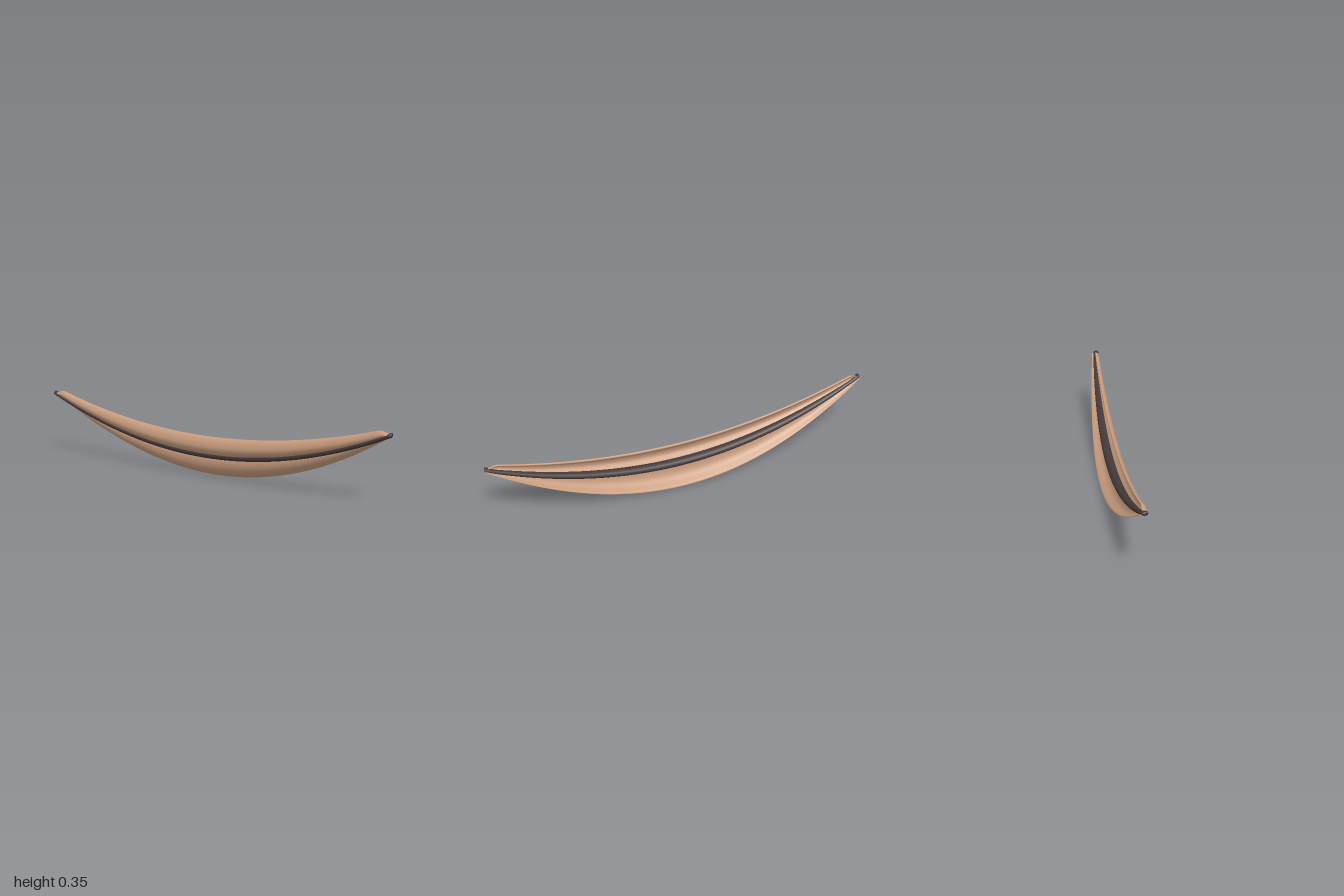
import * as THREE from 'three';

// Curves of the smile along x: lower rim, seam between the lips, upper rim
const rimBottom = x => 0.003 + 0.33 * x * x;
const seam = x => 0.117 + 0.22 * x * x;
const rimTop = x => 0.214 + 0.155 * x * x - 0.028 * THREE.MathUtils.smoothstep(Math.abs(x), 0.94, 1);

// Lip sections: [height fraction, z at the middle, z at the corners],
// up the front surface and back down the inside
const upperSection = [
  [0, 0.012, 0.03], [0.14, 0.037, 0.042], [0.42, 0.052, 0.046], [0.72, 0.048, 0.043],
  [0.93, 0.036, 0.037], [1, 0.024, 0.03], [0.92, 0.02, 0.026],
  [0.7, 0.034, 0.03], [0.42, 0.039, 0.03], [0.16, 0.02, 0.025],
];
const lowerSection = [
  [0, -0.052, 0.015], [0.1, -0.028, 0.02], [0.28, 0, 0.028], [0.5, 0.014, 0.033],
  [0.78, 0.018, 0.037], [0.97, 0.012, 0.034], [1, 0.002, 0.028],
  [0.78, 0.004, 0.025], [0.5, -0.001, 0.02], [0.28, -0.016, 0.017], [0.06, -0.051, 0.012],
];

// Closed loft along x; ringAt(x) returns [y, z] pairs running up the front
function loft(ringAt, steps = 72) {
  const pos = [], index = [];
  let n = 0;
  for (let i = 0; i <= steps; i++) {
    const x = -Math.cos((i / steps) * Math.PI) * 0.5 + (i / steps - 0.5);
    const ring = ringAt(x);
    n = ring.length;
    for (const [y, z] of ring) pos.push(x, y, z);
  }
  for (let i = 0; i < steps; i++) {
    for (let j = 0; j < n; j++) {
      const a = i * n + j, b = i * n + (j + 1) % n;
      index.push(a, a + n, b, b, a + n, b + n);
    }
  }
  // End caps
  for (const [row, flip] of [[0, false], [steps, true]]) {
    const c = pos.length / 3, mid = [0, 0, 0];
    for (let j = 0; j < n; j++) for (let k = 0; k < 3; k++) mid[k] += pos[(row * n + j) * 3 + k] / n;
    pos.push(...mid);
    for (let j = 0; j < n; j++) {
      const a = row * n + j, b = row * n + (j + 1) % n;
      index.push(c, flip ? b : a, flip ? a : b);
    }
  }
  const g = new THREE.BufferGeometry();
  g.setAttribute('position', new THREE.Float32BufferAttribute(pos, 3));
  g.setIndex(index);
  g.computeVertexNormals();
  return g;
}

// Smooth lip ring between two of the smile curves
function lipRing(section, low, high) {
  return x => {
    const w = x * x;
    const pts = section.map(([t, z0, z1]) => new THREE.Vector3(
      0, THREE.MathUtils.lerp(low(x), high(x), t), THREE.MathUtils.lerp(z0, z1, w)));
    const curve = new THREE.CatmullRomCurve3(pts, true);
    return Array.from({ length: 40 }, (_, j) => {
      const p = curve.getPoint(j / 40);
      return [p.y, p.z];
    });
  };
}

// Oval cord that fills the seam and shows on both sides
function cordRing(x) {
  const w = x * x, ry = 0.02 - 0.009 * w, rz = 0.025 - 0.01 * w;
  return Array.from({ length: 20 }, (_, j) => {
    const a = (j / 20) * Math.PI * 2;
    return [seam(x) - ry * Math.cos(a), 0.004 + 0.03 * w + rz * Math.sin(a)];
  });
}

export function createModel() {
  const model = new THREE.Group();
  model.name = 'mouth';
  const skin = new THREE.MeshStandardMaterial({ color: 0xc89c7e });
  const dark = new THREE.MeshStandardMaterial({ color: 0x463a3a });
  const add = (name, ring, material) => {
    const mesh = new THREE.Mesh(loft(ring), material);
    mesh.name = name;
    model.add(mesh);
  };
  add('upperLip', lipRing(upperSection, seam, rimTop), skin);
  add('lowerLip', lipRing(lowerSection, rimBottom, seam), skin);
  add('mouthLine', cordRing, dark);
  return model;
}
